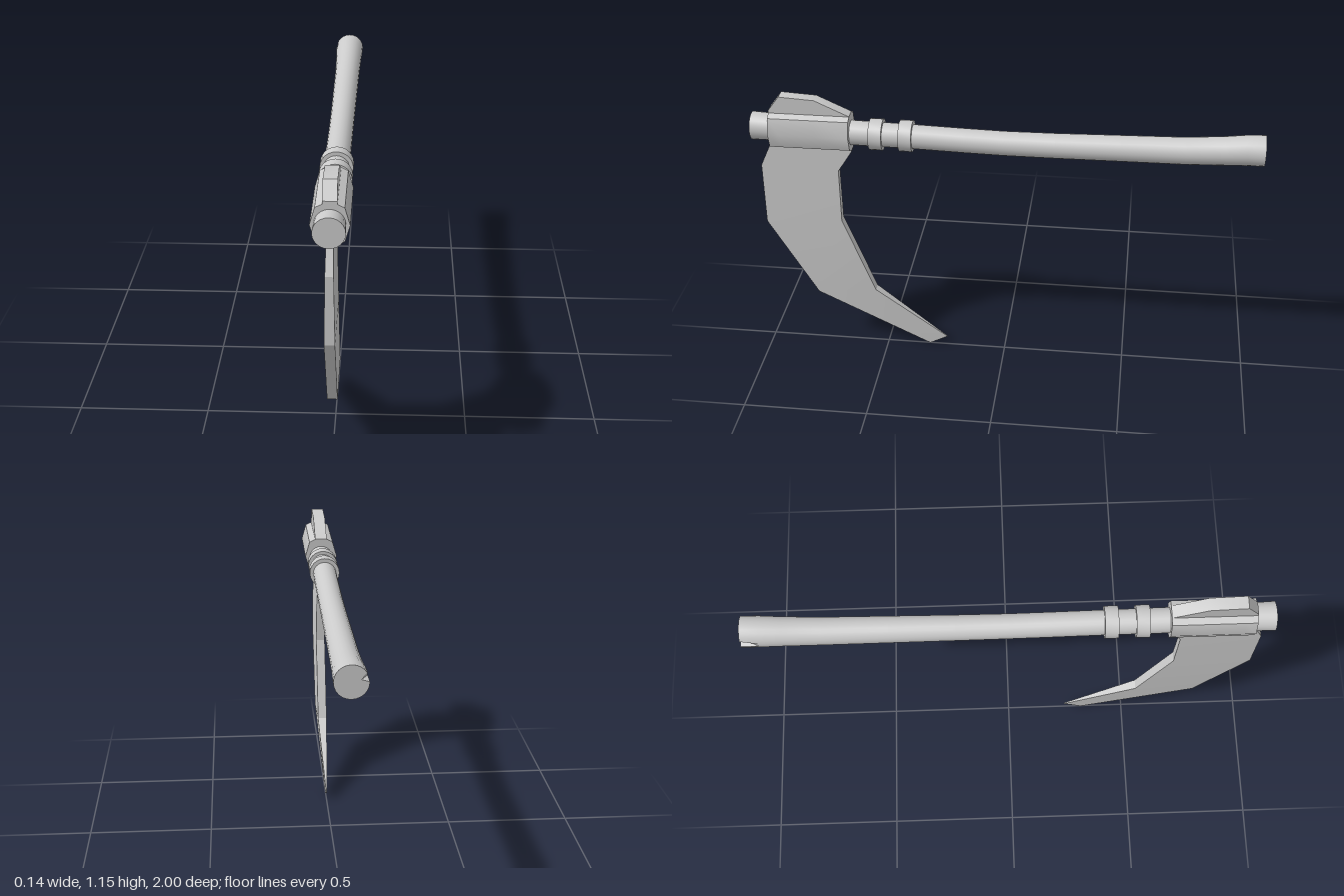
import * as THREE from 'three';
import { toCreasedNormals } from 'three/addons/utils/BufferGeometryUtils.js';

const material = new THREE.MeshStandardMaterial({ color: 0xcccccc });

// Skin a list of equal-length rings and close both ends
function loft(rings, crease) {
  const n = rings[0].length;
  const pos = [], index = [];
  rings.forEach(r => r.forEach(p => pos.push(...p)));
  for (let s = 0; s < rings.length - 1; s++) {
    for (let i = 0; i < n; i++) {
      const a = s * n + i, b = s * n + (i + 1) % n;
      index.push(a, b, b + n, a, b + n, a + n);
    }
  }
  [0, rings.length - 1].forEach(s => {
    const mid = [0, 1, 2].map(k => rings[s].reduce((t, p) => t + p[k], 0) / n);
    const c = pos.push(...mid) / 3 - 1;
    for (let i = 0; i < n; i++) {
      const a = s * n + i, b = s * n + (i + 1) % n;
      if (s) index.push(c, a, b); else index.push(c, b, a);
    }
  });
  const g = new THREE.BufferGeometry();
  g.setAttribute('position', new THREE.Float32BufferAttribute(pos, 3));
  g.setIndex(index);
  return toCreasedNormals(g, crease);
}

export function createModel() {
  const group = new THREE.Group();
  const add = (name, geometry) => {
    const mesh = new THREE.Mesh(geometry, material);
    mesh.name = name;
    group.add(mesh);
    return mesh;
  };

  // Gently curved round handle: z, centre y, radius
  const stations = [
    [-1, 1.014, 0.06], [-0.93, 1.012, 0.059], [-0.85, 1.005, 0.056], [-0.7, 0.996, 0.053],
    [-0.45, 0.992, 0.051], [-0.2, 0.988, 0.049], [0, 0.987, 0.048], [0.15, 0.99, 0.048],
    [0.36, 0.996, 0.048], [0.6, 1.0, 0.049], [0.9, 1.008, 0.053], [1, 1.01, 0.056],
  ];
  const sides = 24;
  add('handle', loft(stations.map(([z, y, r], s) => Array.from({ length: sides }, (_, i) => {
    const a = i / sides * Math.PI * 2;
    const rr = s === 0 && i === 11 ? r * 0.55 : r; // small split in the butt
    return [Math.cos(a) * rr, y + Math.sin(a) * rr, z];
  })), 0.7));

  // Two raised bands behind the head
  for (const z of [0.385, 0.503]) {
    const band = add('handleBand', toCreasedNormals(new THREE.CylinderGeometry(0.062, 0.062, 0.052, 24), 0.7));
    band.rotation.x = Math.PI / 2;
    band.position.set(0, 0.998, z);
  }

  // Faceted socket with a raised crest: z, crest height
  const crest = [[0.605, 1.08], [0.74, 1.142], [0.88, 1.15], [0.925, 1.09]];
  add('headSocket', loft(crest.map(([z, top]) => {
    const half = [[0.014, 0.927], [0.05, 0.945], [0.068, 1.005], [0.05, 1.068], [0.025, 1.08], [0.025, top + 0.001]];
    const right = half.map(([x, y]) => [x, y, z]);
    const left = half.map(([x, y]) => [-x, y, z]).reverse();
    return [...right, ...left];
  }), 0.6));

  // Hooked blade: outer z, y, inner z, y, half thickness
  const blade = [
    [0.922, 0.97, 0.607, 0.97, 0.013],
    [0.93, 0.945, 0.607, 0.92, 0.013],
    [0.978, 0.84, 0.665, 0.83, 0.015],
    [0.978, 0.58, 0.665, 0.6, 0.019],
    [0.785, 0.245, 0.54, 0.27, 0.019],
    [0.32, 0, 0.245, 0.04, 0.002],
  ];
  add('blade', loft(blade.map(([zo, yo, zi, yi, h]) => [
    [-h, yi, zi], [h, yi, zi], [h, yo, zo], [-h, yo, zo],
  ]), 0.3));

  return group;
}
